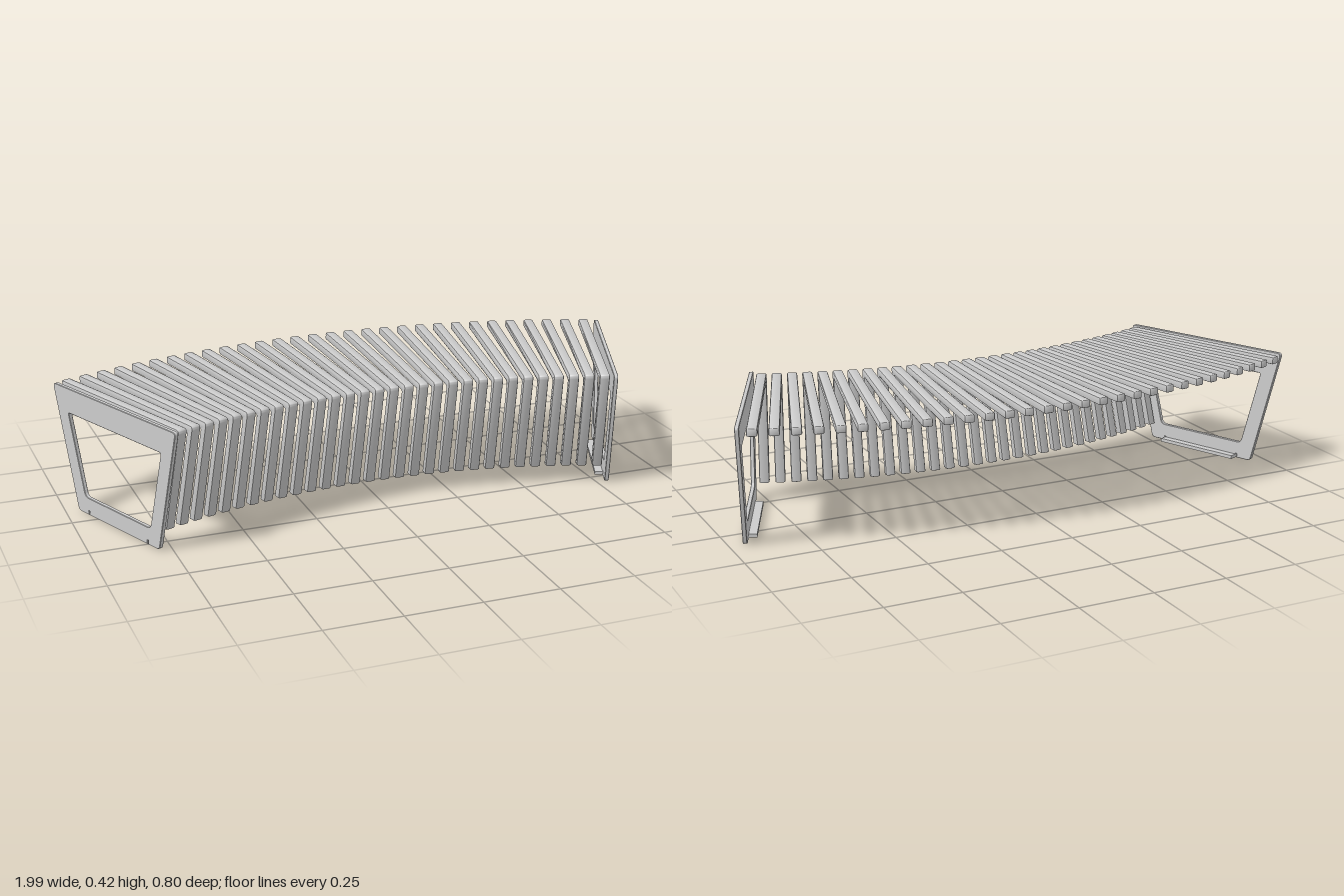
import * as THREE from 'three';
import { toCreasedNormals } from 'three/addons/utils/BufferGeometryUtils.js';

const CENTRE_Z = 2.21;                       // centre of the bench's arc
const PANEL_ANGLE = THREE.MathUtils.degToRad(22.35);
const SLATS = 30;
const SLAT_STEP = THREE.MathUtils.degToRad(1.472);
const TOP = 0.415;

// Closed outline with rounded corners; each point is [x, y, radius].
function roundedOutline(points, target) {
  const v = points.map(([x, y]) => new THREE.Vector2(x, y));
  const n = v.length;
  points.forEach(([, , r], i) => {
    const p = v[i];
    const toward = (q) => p.clone().add(q.clone().sub(p).setLength(r));
    const a = r ? toward(v[(i + n - 1) % n]) : p;
    const b = r ? toward(v[(i + 1) % n]) : p;
    if (i === 0) target.moveTo(a.x, a.y);
    else target.lineTo(a.x, a.y);
    if (r) target.quadraticCurveTo(p.x, p.y, b.x, b.y);
  });
  target.closePath();
  return target;
}

// Extrude a (radius, height) profile, centred on its thickness, with soft edges.
function plate(shape, thickness, bevel, bevelSegments) {
  const geometry = new THREE.ExtrudeGeometry(shape, {
    depth: thickness - 2 * bevel, curveSegments: 6,
    bevelEnabled: true, bevelSize: bevel, bevelThickness: bevel, bevelOffset: -bevel, bevelSegments,
  });
  geometry.translate(0, 0, bevel - thickness / 2);
  return toCreasedNormals(geometry, 0.7);
}

// Put an object whose local x is the radius at an angle along the arc.
function placeOnArc(object, angle) {
  object.position.z = CENTRE_Z;
  object.rotation.y = Math.PI / 2 - angle;
  return object;
}

// One bent slat: flat seat with a leaning front drop.
function slatGeometry() {
  const front = (y) => 1.97 + (TOP - y) * 0.245;
  const t = 0.026;
  return plate(roundedOutline([
    [front(TOP), TOP, 0.016],
    [front(0.06), 0.06, 0.003],
    [front(0.06) + t, 0.06, 0.003],
    [front(TOP - t) + t, TOP - t, 0.008],
    [2.61, TOP - t, 0.004],
    [2.61, TOP, 0.004],
  ], new THREE.Shape()), 0.034, 0.006, 2);
}

// Trapezoid end frame with a window and two slits beside the foot flange.
const radiusAt = (z) => (CENTRE_Z - z) / Math.cos(PANEL_ANGLE);

function panelGeometry() {
  const slit = (z) => [
    [radiusAt(z + 0.002), 0, 0], [radiusAt(z + 0.002), 0.014, 0],
    [radiusAt(z - 0.002), 0.014, 0], [radiusAt(z - 0.002), 0, 0],
  ];
  const shape = roundedOutline([
    [radiusAt(0.402), TOP + 0.002, 0.016],
    [radiusAt(0.303), 0, 0.014],
    ...slit(0.248), ...slit(-0.045),
    [radiusAt(-0.1), 0, 0.014],
    [radiusAt(-0.2), TOP + 0.002, 0.016],
  ], new THREE.Shape());
  shape.holes.push(roundedOutline([
    [radiusAt(0.33), 0.332, 0.006],
    [radiusAt(-0.126), 0.332, 0.006],
    [radiusAt(-0.06), 0.06, 0.016],
    [radiusAt(0.264), 0.06, 0.016],
  ], new THREE.Path()));
  return plate(shape, 0.014, 0.0015, 1);
}

export function createModel() {
  const bench = new THREE.Group();
  bench.name = 'curvedBench';
  const material = new THREE.MeshStandardMaterial({ color: 0xcccccc });

  // Slats fanned along the arc
  const slats = new THREE.Group();
  slats.name = 'slats';
  const slatGeo = slatGeometry();
  for (let i = 0; i < SLATS; i++) {
    const slat = new THREE.Mesh(slatGeo, material);
    slat.name = 'slat';
    slats.add(placeOnArc(slat, (i - (SLATS - 1) / 2) * SLAT_STEP));
  }
  bench.add(slats);

  // End frames, each with a foot flange folded inward
  const panelGeo = panelGeometry();
  const r0 = radiusAt(0.246), r1 = radiusAt(-0.043);
  const flangeGeo = new THREE.BoxGeometry(r1 - r0, 0.012, 0.032);
  for (const side of [1, -1]) {
    const end = new THREE.Group();
    end.name = side > 0 ? 'leftEndFrame' : 'rightEndFrame';
    const panel = new THREE.Mesh(panelGeo, material);
    panel.name = 'endPanel';
    const flange = new THREE.Mesh(flangeGeo, material);
    flange.name = 'footFlange';
    flange.position.set((r0 + r1) / 2, 0.006, -side * 0.018);
    end.add(panel, flange);
    bench.add(placeOnArc(end, side * PANEL_ANGLE));
  }
  return bench;
}
